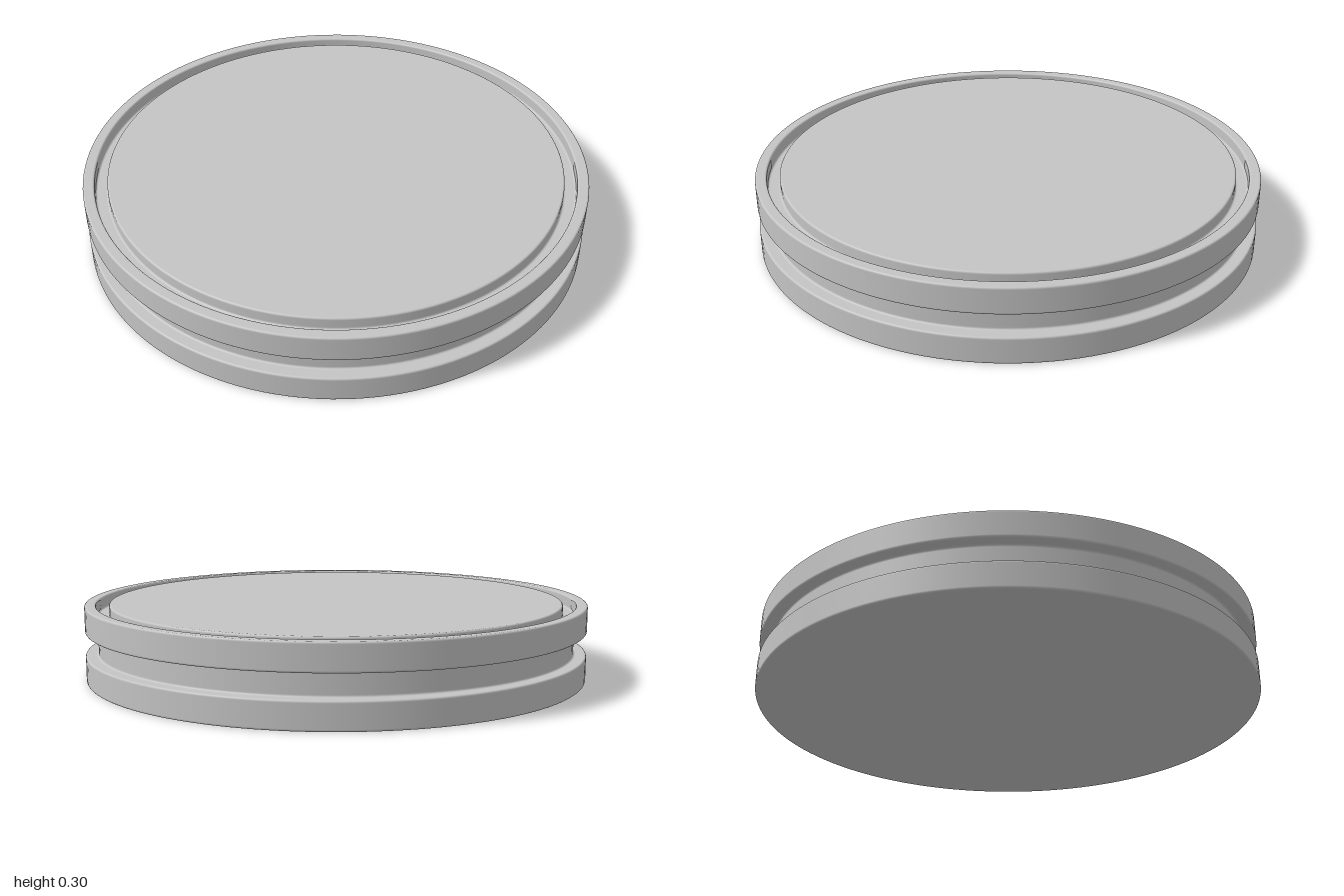
import * as THREE from 'three';

// Rounds every inner corner of a polyline, with support points that keep the flats flat.
function roundedProfile(corners, radius, steps = 4) {
  const pts = [corners[0]];
  for (let i = 1; i < corners.length - 1; i++) {
    const c = corners[i];
    const a = corners[i - 1].clone().sub(c).normalize();
    const b = corners[i + 1].clone().sub(c).normalize();
    const at = (u, v) => c.clone().addScaledVector(a, u).addScaledVector(b, v);
    pts.push(at(radius * 1.3, 0));
    for (let s = 0; s <= steps; s++) {
      const t = (s / steps) * Math.PI / 2;
      pts.push(at(radius * (1 - Math.sin(t)), radius * (1 - Math.cos(t))));
    }
    pts.push(at(0, radius * 1.3));
  }
  pts.push(corners[corners.length - 1]);
  return pts;
}

export function createModel() {
  const group = new THREE.Group();
  group.name = 'groovedDisc';
  const grey = new THREE.MeshStandardMaterial({ color: 0xc4c4c4 });
  grey.name = 'light grey';

  // Half section: flat base, side groove, rim, narrow top channel, flat centre
  const section = [
    [0, 0], [1, 0], [1, 0.105], [0.95, 0.105], [0.95, 0.195], [1, 0.195],
    [1, 0.3], [0.955, 0.3], [0.955, 0.25], [0.905, 0.25], [0.905, 0.3], [0, 0.3],
  ].map(([r, y]) => new THREE.Vector2(r, y));

  const disc = new THREE.Mesh(new THREE.LatheGeometry(roundedProfile(section, 0.007), 128), grey);
  disc.name = 'disc';
  group.add(disc);
  return group;
}
